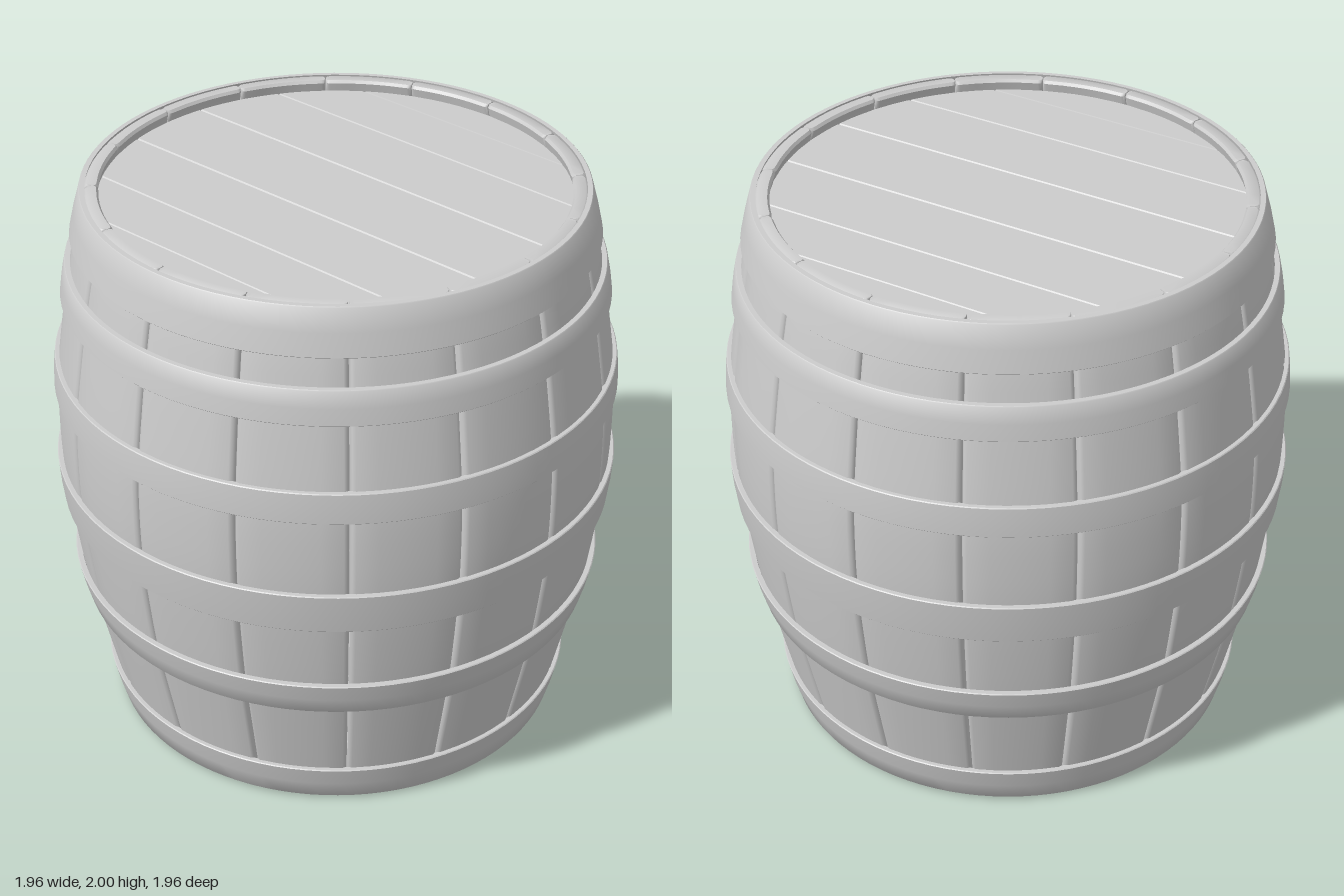
import * as THREE from 'three';
import { toCreasedNormals } from 'three/addons/utils/BufferGeometryUtils.js';

const STAVES = 16;
const OFFSET = THREE.MathUtils.degToRad(2.2); // turn of the first seam
const WALL = 0.052;

// Outer barrel curve as [radius, height]
const bulge = new THREE.SplineCurve([
  [0.786, 0.003], [0.822, 0.155], [0.893, 0.47], [0.918, 0.6], [0.951, 0.85], [0.963, 1.0], [0.966, 1.14],
  [0.963, 1.28], [0.952, 1.39], [0.918, 1.62], [0.896, 1.74], [0.876, 1.84], [0.838, 1.997],
].map(([r, y]) => new THREE.Vector2(r, y)));

// One curved stave, lofted upward from arc-shaped cross-sections with rounded edges
function staveGeometry() {
  const half = Math.PI / STAVES - 0.002;
  const edge = [[half, 0.014], [half - 0.006, 0.004], [half - 0.018, 0]];
  const arc = [
    ...edge.map(([a, d]) => [-a, d]),
    ...[-0.1, -0.05, 0, 0.05, 0.1].map((a) => [a, 0]),
    ...edge.slice().reverse(),
  ];
  const n = arc.length;
  const rings = bulge.getPoints(36).map((p) => ({ y: p.y, r: p.x, inset: 0 }));

  // Softened ends
  const first = rings[0], last = rings[rings.length - 1];
  rings.splice(1, 0, { y: first.y + 0.01, r: first.r + 0.002, inset: 0 });
  rings.splice(rings.length - 1, 0, { y: last.y - 0.01, r: last.r + 0.002, inset: 0 });
  first.inset = last.inset = 0.009;

  const pos = [], index = [];
  const put = (a, r, y) => pos.push(r * Math.sin(a), y, r * Math.cos(a));
  for (const { y, r, inset } of rings) {
    for (const [a, d] of arc) put(a, r - d - inset, y);
    for (const [a, d] of arc.slice().reverse()) put(a, r - WALL + d * 0.5 + inset, y);
  }
  const loop = 2 * n;
  for (let j = 0; j < rings.length - 1; j++) {
    for (let i = 0; i < loop; i++) {
      const a = j * loop + i, b = j * loop + (i + 1) % loop;
      index.push(a, b, b + loop, a, b + loop, a + loop);
    }
  }
  const top = (rings.length - 1) * loop;
  for (let i = 0; i < n - 1; i++) {
    const o0 = i, o1 = i + 1, n0 = loop - 1 - i, n1 = loop - 2 - i;
    index.push(top + o0, top + o1, top + n1, top + o0, top + n1, top + n0);
    index.push(o0, n1, o1, o0, n0, n1);
  }
  const geo = new THREE.BufferGeometry();
  geo.setAttribute('position', new THREE.Float32BufferAttribute(pos, 3));
  geo.setIndex(index);
  return toCreasedNormals(geo, 0.75);
}

// Flat band with a rectangular section that follows the slope of the barrel
function hoopGeometry(y0, r0, y1, r1) {
  const t = 0.02, c = 0.003, ym = (y0 + y1) / 2, rm = (r0 + r1) / 2 + 0.002;
  const profile = [
    [r0 - c, y0], [r0, y0 + c], [rm, ym], [r1, y1 - c], [r1 - c, y1],
    [r1 - t, y1], [r0 - t, y0], [r0 - c, y0],
  ].map(([r, y]) => new THREE.Vector2(r, y));
  return toCreasedNormals(new THREE.LatheGeometry(profile, 96), 0.6);
}

// One plank of a round head: the strip of a disc between offsets a and b
function plankGeometry(a, b, radius) {
  const steps = 16, right = [], left = [];
  for (let i = 0; i <= steps; i++) {
    const u = THREE.MathUtils.lerp(a, b, i / steps);
    const v = Math.sqrt(Math.max(radius * radius - u * u, 0.0004));
    right.push(new THREE.Vector2(u, v));
    left.unshift(new THREE.Vector2(u, -v));
  }
  const bevel = 0.005;
  const geo = new THREE.ExtrudeGeometry(new THREE.Shape([...right, ...left]), {
    depth: 0.03, bevelEnabled: true, bevelSize: bevel, bevelThickness: bevel,
    bevelOffset: -bevel - 0.0005, bevelSegments: 1,
  });
  geo.rotateZ(0.837);
  geo.rotateX(-Math.PI / 2);
  return geo;
}

export function createModel() {
  const model = new THREE.Group();
  model.name = 'barrel';
  const material = new THREE.MeshStandardMaterial({ color: 0xcccccc });
  const add = (parent, geometry, name) => {
    const mesh = new THREE.Mesh(geometry, material);
    mesh.name = name;
    parent.add(mesh);
    return mesh;
  };
  const group = (name) => {
    const g = new THREE.Group();
    g.name = name;
    model.add(g);
    return g;
  };

  // Staves
  const staves = group('staves');
  const stave = staveGeometry();
  for (let i = 0; i < STAVES; i++) {
    add(staves, stave, 'stave').rotation.y = OFFSET + (i + 0.5) * 2 * Math.PI / STAVES;
  }

  // Hoops: bottom height, bottom radius, top height, top radius
  const hoops = group('hoops');
  for (const h of [
    [0.012, 0.803, 0.155, 0.838], [0.47, 0.908, 0.6, 0.939], [0.85, 0.967, 1.0, 0.981],
    [1.28, 0.976, 1.39, 0.968], [1.62, 0.936, 1.74, 0.916], [1.84, 0.893, 2.0, 0.854],
  ]) add(hoops, hoopGeometry(...h), 'hoop');

  // Top and bottom heads, planked diagonally and recessed inside the rim
  const cuts = [-0.66, -0.44, -0.157, 0.157, 0.44, 0.66];
  for (const [name, y, radius] of [['topHead', 1.92, 0.802], ['bottomHead', 0.07, 0.77]]) {
    const head = group(name);
    head.position.y = y;
    const edges = [-radius, ...cuts, radius];
    for (let i = 0; i < edges.length - 1; i++) {
      add(head, plankGeometry(edges[i], edges[i + 1], radius), 'plank');
    }
  }
  return model;
}
